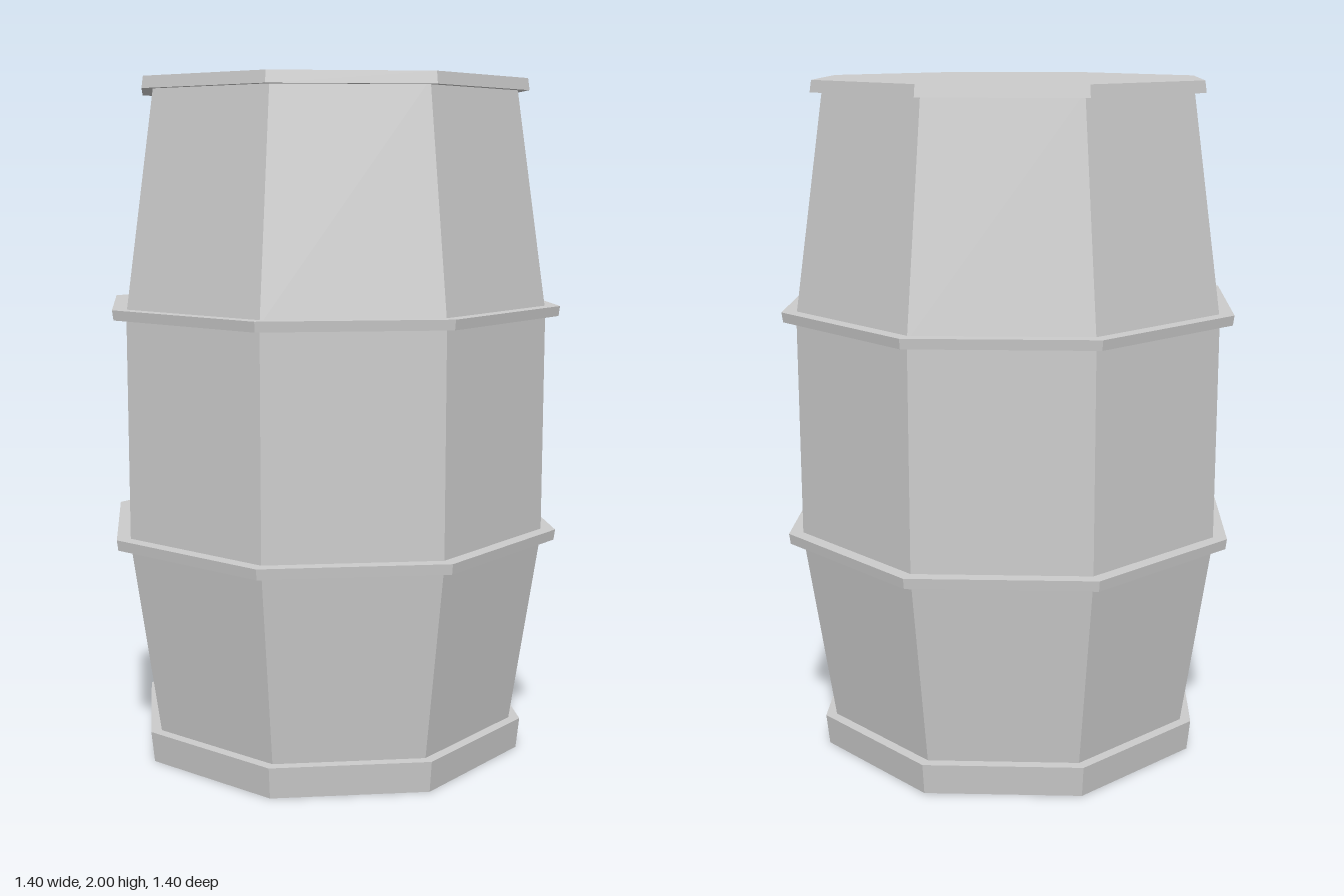
import * as THREE from 'three';

export function createModel() {
  const barrel = new THREE.Group();
  barrel.name = 'barrel';
  const material = new THREE.MeshStandardMaterial({ color: 0xcccccc, flatShading: true });

  // Eight-sided ring section between two heights, corners on the x and z axes
  function section(name, y0, y1, r0, r1, open = false) {
    const geometry = new THREE.CylinderGeometry(r1, r0, y1 - y0, 8, 1, open);
    const mesh = new THREE.Mesh(geometry, material);
    mesh.position.y = (y0 + y1) / 2;
    mesh.name = name;
    barrel.add(mesh);
  }

  // Stave walls: tapered ends around a straight middle
  section('lowerStaves', 0.05, 0.67, 0.562, 0.655, true);
  section('middleStaves', 0.67, 1.335, 0.655, 0.655, true);
  section('upperStaves', 1.335, 1.98, 0.655, 0.561, true);

  // Closed end rims
  section('bottomRim', 0, 0.092, 0.592, 0.602);
  section('topRim', 1.966, 2, 0.597, 0.592);

  // Hoops where the walls change slope
  section('lowerHoop', 0.655, 0.686, 0.694, 0.698);
  section('upperHoop', 1.321, 1.35, 0.694, 0.698);

  return barrel;
}
